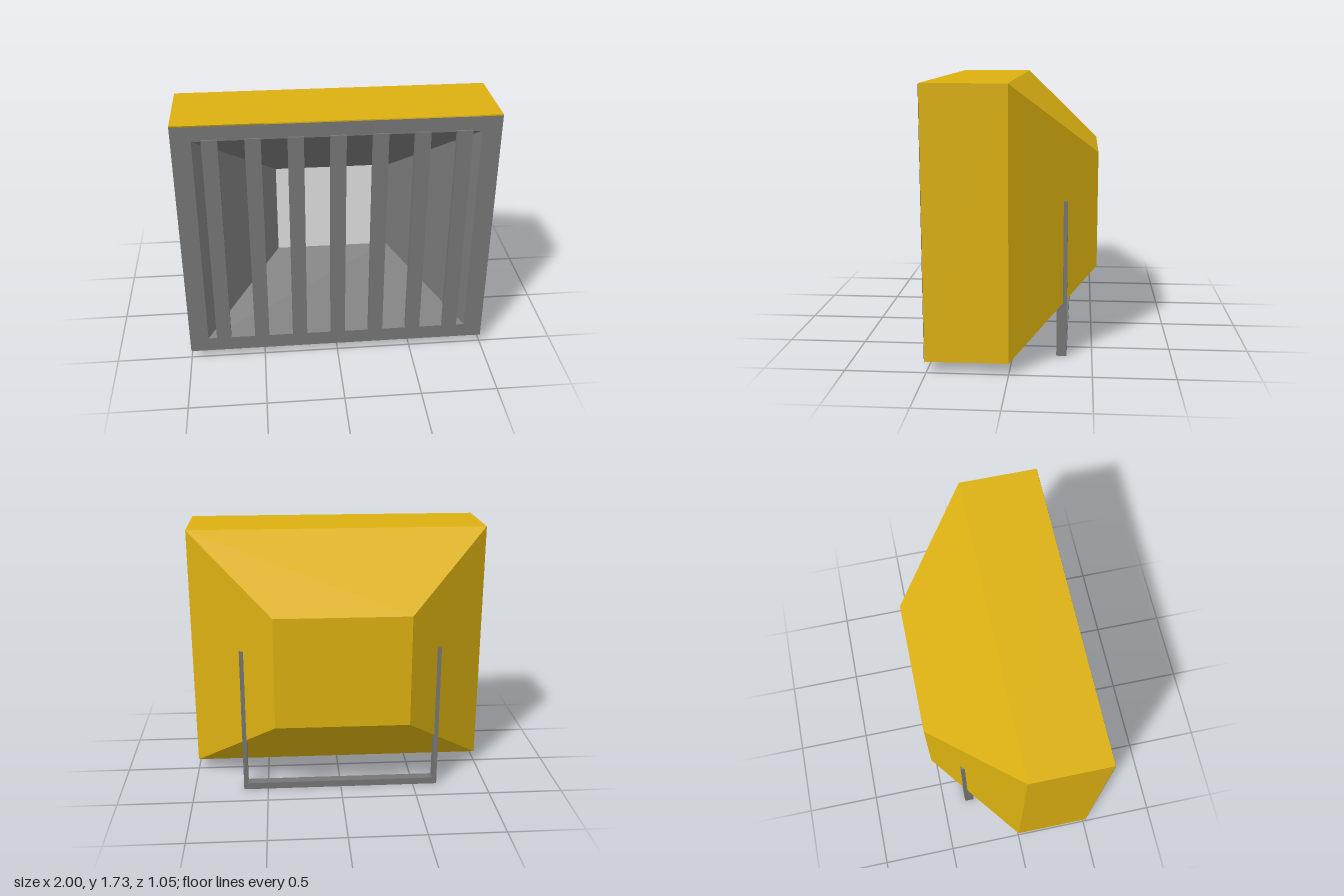
import * as THREE from 'three';

const yellow = new THREE.MeshStandardMaterial({ color: 0xdbb010, side: THREE.DoubleSide });
yellow.name = 'housing yellow';
const grey = new THREE.MeshStandardMaterial({ color: 0x757575, side: THREE.DoubleSide });
grey.name = 'metal grey';
const pale = new THREE.MeshStandardMaterial({ color: 0xdedede, side: THREE.DoubleSide });
pale.name = 'lamp pale grey';

// Rectangular cross-section: half width, bottom, top, depth position
const rect = (w, y0, y1, z) => [[-w, y0, z], [w, y0, z], [w, y1, z], [-w, y1, z]];

// Flat-shaded walls joining successive rectangles (front to back); inward flips the faces
function loft(sections, inward, cap) {
  const pos = [];
  const quad = (a, b, c, d) => {
    const q = inward ? [a, c, b, a, d, c] : [a, b, c, a, c, d];
    q.forEach((p) => pos.push(...p));
  };
  for (let s = 0; s < sections.length - 1; s++) {
    const f = sections[s], b = sections[s + 1];
    for (let i = 0; i < 4; i++) {
      const j = (i + 1) % 4;
      quad(f[i], b[i], b[j], f[j]);
    }
  }
  if (cap) {
    const [a, b, c, d] = sections[sections.length - 1];
    quad(a, d, c, b);
  }
  const g = new THREE.BufferGeometry();
  g.setAttribute('position', new THREE.Float32BufferAttribute(pos, 3));
  g.computeVertexNormals();
  return g;
}

export function createModel() {
  const model = new THREE.Group();
  model.name = 'floodlight';

  const add = (parent, name, geometry, material, x = 0, y = 0, z = 0) => {
    const mesh = new THREE.Mesh(geometry, material);
    mesh.name = name;
    mesh.position.set(x, y, z);
    parent.add(mesh);
    return mesh;
  };

  // Housing: straight front section and tapered back
  add(model, 'housing', loft([
    rect(1, 0.07, 1.733, 0.51),
    rect(1, 0.07, 1.733, 0),
    rect(0.44, 0.535, 1.275, -0.525),
  ], false, true), yellow);

  // Front frame and the reflector funnel behind it
  const opening = rect(0.877, 0.16, 1.63, 0.512);
  const lampRect = rect(0.375, 0.597, 1.215, 0.1);
  add(model, 'frontFrame', loft([rect(1, 0.06, 1.726, 0.512), opening], true, false), grey);
  add(model, 'reflector', loft([opening, lampRect], true, false), grey);

  // Lamp panel at the end of the reflector
  add(model, 'lampPanel', new THREE.PlaneGeometry(0.75, 0.618), pale, 0, 0.906, 0.1);

  // Protective bars
  const grille = new THREE.Group();
  grille.name = 'grille';
  const bar = new THREE.BoxGeometry(0.097, 1.485, 0.035);
  for (let i = -3; i <= 3; i++) {
    add(grille, 'grilleBar', bar, grey, i * 0.257, 0.8975, 0.5075);
  }
  model.add(grille);

  // U-shaped mounting bracket
  const bracket = new THREE.Group();
  bracket.name = 'bracket';
  add(bracket, 'bracketBase', new THREE.BoxGeometry(1.28, 0.045, 0.065), grey, 0, 0.0225, -0.3075);
  for (const side of [-1, 1]) {
    add(bracket, 'bracketArm', new THREE.BoxGeometry(0.03, 1, 0.065), grey, side * 0.65, 0.5, -0.3075);
  }
  model.add(bracket);

  return model;
}
